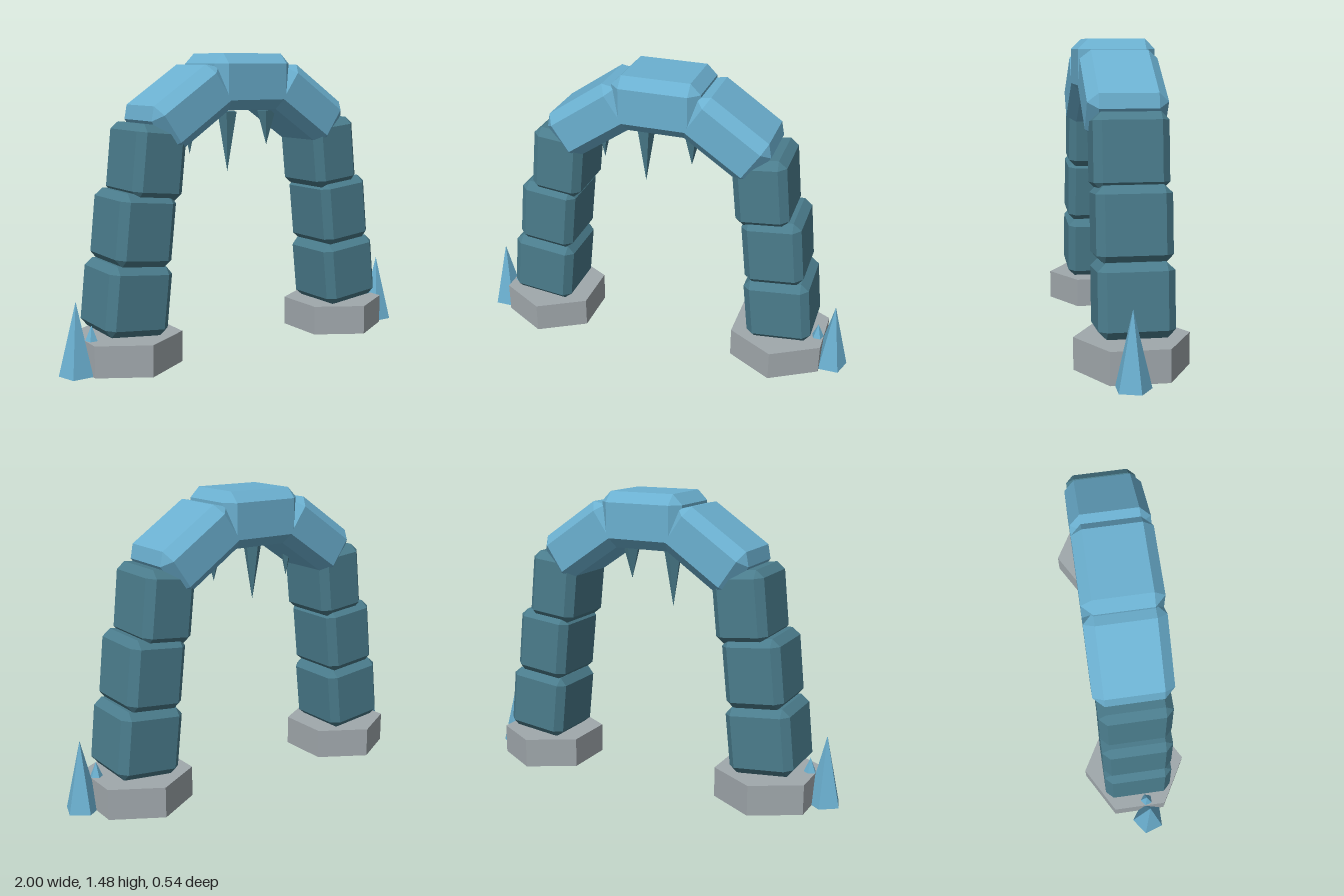
import * as THREE from 'three';
import { ConvexGeometry } from 'three/addons/geometries/ConvexGeometry.js';

const mat = (color) => new THREE.MeshStandardMaterial({ color, flatShading: true });

// Box with every edge and corner cut at 45 degrees
function chamferedBox(w, h, d, c) {
  const pts = [];
  for (const sx of [-1, 1]) for (const sy of [-1, 1]) for (const sz of [-1, 1]) {
    for (let face = 0; face < 3; face++) {
      const cut = [c, c, c];
      cut[face] = 0;
      pts.push(new THREE.Vector3(sx * (w / 2 - cut[0]), sy * (h / 2 - cut[1]), sz * (d / 2 - cut[2])));
    }
  }
  return new ConvexGeometry(pts);
}

export function createModel() {
  const group = new THREE.Group();
  const lightIce = mat(0x6bb0d0), darkIce = mat(0x4a7c8c), stone = mat(0xa0a8ac);

  const add = (name, geometry, material, x, y, z = 0, rotZ = 0) => {
    const mesh = new THREE.Mesh(geometry, material);
    mesh.name = name;
    mesh.position.set(x, y, z);
    mesh.rotation.z = rotZ;
    group.add(mesh);
    return mesh;
  };

  // Five-sided spike standing on y, one corner towards the back
  const spike = (name, r, h, x, y, z) =>
    add(name, new THREE.ConeGeometry(r, h, 5).rotateY(Math.PI), lightIce, x, y + h / 2, z);

  // Keystone
  add('keystone', chamferedBox(0.44, 0.275, 0.375, 0.05), lightIce, 0, 1.347);

  // Leg blocks: width, height, x, y
  const legBlocks = [
    [0.33, 0.335, 0.64, 0.33],
    [0.295, 0.345, 0.598, 0.66],
    [0.265, 0.35, 0.523, 0.975],
  ];

  for (const [side, s] of [['left', 1], ['right', -1]]) {
    // Plinth
    add(side + 'Plinth', new THREE.CylinderGeometry(0.268, 0.268, 0.152, 6), stone, s * 0.64, 0.076);

    // Leaning leg
    legBlocks.forEach(([w, h, x, y], i) =>
      add(side + 'LegBlock' + (i + 1), chamferedBox(w, h, 0.345, 0.037), darkIce, s * x, y, 0, s * 0.105));

    // Sloping arch block
    add(side + 'ArchBlock', chamferedBox(0.44, 0.255, 0.375, 0.05), lightIce, s * 0.338, 1.229, 0, -s * 0.6);

    // Ground spikes
    spike(side + 'LargeSpike', 0.085, 0.35, s * 0.92, 0, 0.043);
    spike(side + 'SmallSpike', 0.032, 0.075, s * 0.842, 0.15, 0.04);
  }

  // Icicles under the arch: x, radius, length
  for (const [x, r, h] of [[-0.303, 0.045, 0.2], [-0.085, 0.05, 0.3], [0.153, 0.048, 0.175]]) {
    add('icicle', new THREE.ConeGeometry(r, h, 5).rotateX(Math.PI), darkIce, x, 1.2 - h / 2, 0.04);
  }

  return group;
}
